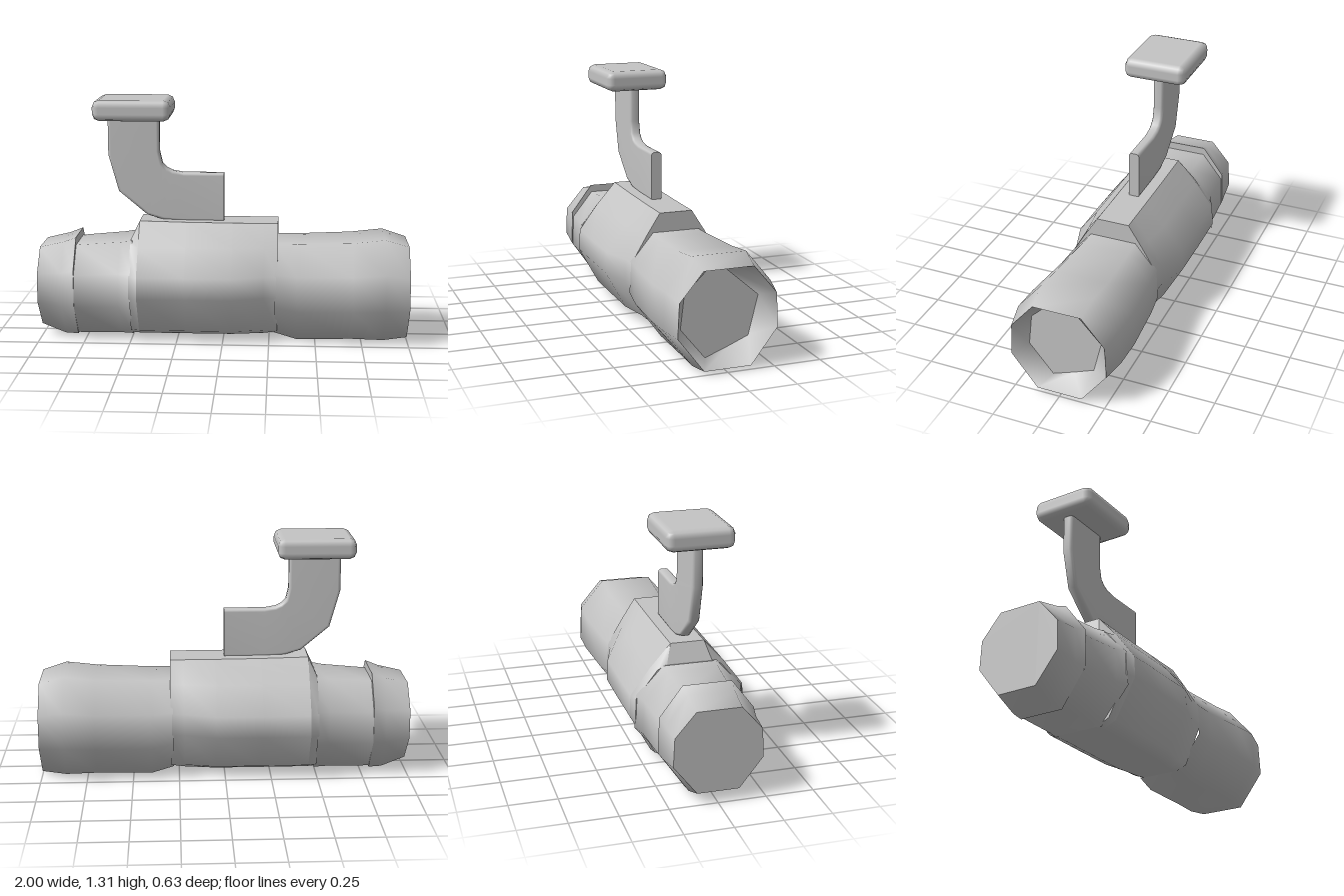
import * as THREE from 'three';
import { RoundedBoxGeometry } from 'three/addons/geometries/RoundedBoxGeometry.js';
import { mergeGeometries } from 'three/addons/utils/BufferGeometryUtils.js';

// Skin a row of closed rings of [x, y, z] points, with optional flat end caps
function loft(rings, { start = false, end = false } = {}) {
  const n = rings[0].length;
  const index = [];
  for (let i = 0; i < rings.length - 1; i++) {
    for (let j = 0; j < n; j++) {
      const k = (j + 1) % n;
      const a = i * n + j, b = i * n + k, c = b + n, d = a + n;
      index.push(a, b, c, a, c, d);
    }
  }
  const skin = new THREE.BufferGeometry();
  skin.setAttribute('position', new THREE.Float32BufferAttribute(rings.flat(2), 3));
  skin.setIndex(index);
  skin.computeVertexNormals();
  const parts = [skin.toNonIndexed()];
  const cap = (ring, reversed) => {
    const pos = [];
    for (let j = 1; j < n - 1; j++) {
      const tri = reversed ? [0, j + 1, j] : [0, j, j + 1];
      tri.forEach((k) => pos.push(...ring[k]));
    }
    const g = new THREE.BufferGeometry();
    g.setAttribute('position', new THREE.Float32BufferAttribute(pos, 3));
    g.computeVertexNormals();
    parts.push(g);
  };
  if (start) cap(rings[0], true);
  if (end) cap(rings[rings.length - 1], false);
  return mergeGeometries(parts);
}

// Mirror half a cross-section of [z, y] points into a full ring at x
function mirrored(x, half) {
  return [
    ...half.map(([z, y]) => [x, y, z]),
    ...half.slice().reverse().map(([z, y]) => [x, y, -z]),
  ];
}

// Eight-sided tube ring from its top, bottom and half width
function tubeRing([x, top, bottom, w]) {
  const c = (top + bottom) / 2, h = (top - bottom) / 2;
  return mirrored(x, [[0.5 * w, top], [0.97 * w, c + 0.42 * h], [w, c - 0.28 * h], [0.47 * w, bottom]]);
}

// Middle ring with the raised top; the doubled first point keeps its edge sharp
function middleRing([x, top, topW, shoulderW, shoulderY, w, bottom]) {
  return mirrored(x, [
    [topW, top], [topW, top], [shoulderW, shoulderY], [0.98 * w, 0.385],
    [w, 0.27], [0.64 * w, 0.065], [0.39 * w, bottom],
  ]);
}

export function createModel() {
  const model = new THREE.Group();
  const grey = new THREE.MeshStandardMaterial({ color: 0xc4c4c4 });
  grey.name = 'plain grey';
  const add = (name, geometry) => {
    const mesh = new THREE.Mesh(geometry, grey);
    mesh.name = name;
    model.add(mesh);
    return mesh;
  };

  // Rear tube, widening toward the middle
  add('rearTube', loft([
    [-0.8, 0.52, 0.025, 0.247],
    [-0.56, 0.54, 0.03, 0.268],
    [-0.49, 0.55, 0.03, 0.292],
  ].map(tubeRing)));

  // Swollen middle with a flat-topped ridge and a sloped rear face
  const ridgeBack = [-0.455, 0.65, 0.09, 0.2, 0.525, 0.31, 0.028];
  add('ridgeSlope', loft([
    [-0.5, 0.555, 0.12, 0.17, 0.53, 0.29, 0.03],
    ridgeBack,
  ].map(middleRing), { start: true }));
  add('middleBody', loft([
    ridgeBack,
    [-0.2, 0.645, 0.09, 0.2, 0.525, 0.313, 0.028],
    [0.05, 0.643, 0.09, 0.2, 0.525, 0.312, 0.028],
    [0.22, 0.643, 0.09, 0.175, 0.525, 0.258, 0.03],
    [0.295, 0.643, 0.09, 0.165, 0.525, 0.253, 0.04],
  ].map(middleRing), { end: true }));

  // Front tube, flaring at the open end
  add('frontTube', loft([
    [0.28, 0.54, 0.04, 0.255],
    [0.4, 0.54, 0.005, 0.265],
    [0.7, 0.55, 0.015, 0.29],
    [0.87, 0.57, 0.01, 0.288],
    [1, 0.53, 0.025, 0.262],
  ].map(tubeRing)));

  // Recess in the open end, with an uneven floor outline
  const floor = [
    [0.07, 0.505], [0.19, 0.39], [0.21, 0.215], [0.08, 0.055],
    [-0.04, 0.1], [-0.15, 0.145], [-0.2, 0.35], [-0.02, 0.505],
  ];
  add('endRecess', loft([
    tubeRing([1, 0.53, 0.025, 0.262]),
    floor.map(([z, y]) => [0.9, y, z]),
  ], { end: true }));

  // Rear collar, closed at both ends
  add('rearCollar', loft([
    [-1, 0.505, 0.07, 0.23],
    [-0.87, 0.535, 0.02, 0.24],
    [-0.8, 0.562, 0.018, 0.253],
  ].map(tubeRing), { start: true, end: true }));

  // Flat curved arm: inner and outer edge at each station
  const stations = [
    [0, 0.905, 0, 0.635],
    [-0.22, 0.905, -0.22, 0.635],
    [-0.28, 0.915, -0.33, 0.643],
    [-0.31, 0.93, -0.42, 0.67],
    [-0.335, 0.955, -0.575, 0.8],
    [-0.35, 1.02, -0.63, 1.0],
    [-0.35, 1.23, -0.63, 1.23],
  ];
  const section = [
    [0, -0.014], [0.02, -0.025], [0.06, -0.03], [0.94, -0.03], [0.98, -0.025], [1, -0.014],
    [1, 0.014], [0.98, 0.025], [0.94, 0.03], [0.06, 0.03], [0.02, 0.025], [0, 0.014],
  ];
  add('curvedArm', loft(stations.map(([ix, iy, ox, oy]) =>
    section.map(([t, z]) => [ix + (ox - ix) * t, iy + (oy - iy) * t, z])), { start: true, end: true }));

  // Bevelled pad on top of the arm
  add('topPad', new RoundedBoxGeometry(0.416, 0.112, 0.353, 1, 0.038)).position.set(-0.487, 1.256, 0.002);

  return model;
}
